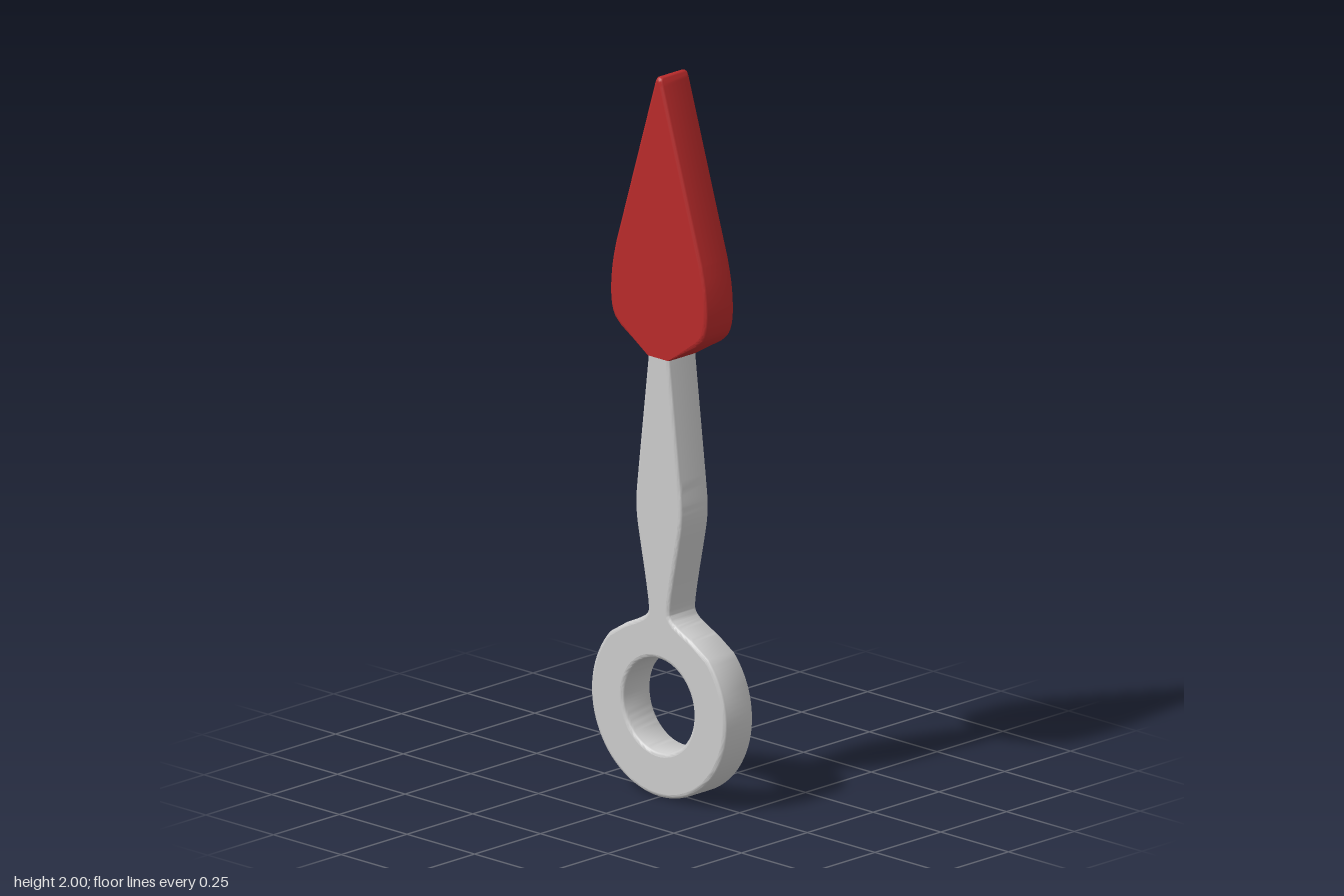
import * as THREE from 'three';
import { toCreasedNormals } from 'three/addons/utils/BufferGeometryUtils.js';

const HALF_DEPTH = 0.054;
const BEVEL = 0.012;
const SEAM = 1.22; // height where blade meets handle

const vec = ([x, y]) => new THREE.Vector2(x, y);

// Smooth run through a few points
const smooth = (pts, n) => new THREE.SplineCurve(pts.map(vec)).getPoints(n);

// Closed outline from its right half, listed bottom to top
function mirrored(half) {
  const left = half.filter(p => p.x > 1e-5).reverse().map(p => new THREE.Vector2(-p.x, p.y));
  return new THREE.Shape([...half, ...left]);
}

// Soft-edged plate, cut square at the seam, with flat front and back faces
function plate(name, shape, material) {
  const flat = new THREE.ExtrudeGeometry(shape, {
    depth: 2 * (HALF_DEPTH - BEVEL), curveSegments: 40, steps: 1,
    bevelThickness: BEVEL, bevelSize: BEVEL, bevelOffset: -BEVEL, bevelSegments: 4,
  });
  flat.translate(0, 0, -(HALF_DEPTH - BEVEL));
  const p = flat.attributes.position;
  for (let i = 0; i < p.count; i++) {
    if (Math.abs(p.getY(i) - SEAM) < BEVEL * 1.05) p.setY(i, SEAM);
  }
  const geometry = toCreasedNormals(flat, 0.6);
  const q = geometry.attributes.position, n = geometry.attributes.normal;
  for (let i = 0; i < q.count; i += 3) {
    const z = q.getZ(i);
    const onFace = [0, 1, 2].every(k => Math.abs(q.getZ(i + k) - z) < 1e-5);
    if (onFace && Math.abs(z) > HALF_DEPTH - 1e-4) {
      for (let k = 0; k < 3; k++) n.setXYZ(i + k, 0, 0, Math.sign(z));
    }
  }
  const mesh = new THREE.Mesh(geometry, material);
  mesh.name = name;
  return mesh;
}

export function createModel() {
  const group = new THREE.Group();
  group.name = 'throwingKnife';
  const grey = new THREE.MeshStandardMaterial({ color: 0xcccccc });
  const red = new THREE.MeshStandardMaterial({ color: 0xb82a2a });

  // Ring pommel flowing through a pinched neck into the swelling grip
  const ring = [];
  for (let i = 0; i <= 32; i++) {
    const a = -Math.PI / 2 + (i / 32) * Math.PI * 0.74;
    ring.push(new THREE.Vector2(i ? 0.25 * Math.cos(a) : 0, 0.25 + 0.25 * Math.sin(a)));
  }
  const grip = smooth([
    [0.125, 0.457], [0.07, 0.484], [0.046, 0.502], [0.04, 0.525], [0.052, 0.6],
    [0.072, 0.7], [0.083, 0.76], [0.086, 0.81], [0.081, 0.87], [0.06, 1.05], [0.04, SEAM],
  ], 60);
  const handleShape = mirrored([...ring, ...grip]);
  handleShape.holes.push(new THREE.Path().absarc(0, 0.254, 0.129, 0, Math.PI * 2, true));
  group.add(plate('handle', handleShape, grey));

  // Leaf-shaped blade with rounded shoulders and a fine tip
  const shoulder = smooth([
    [0.14, 1.278], [0.165, 1.303], [0.177, 1.34], [0.179, 1.39], [0.173, 1.45], [0.16, 1.51],
  ], 24);
  const tip = smooth([[0.018, 1.975], [0.013, 1.99], [0.007, 1.998], [0, 2]], 6);
  group.add(plate('blade', mirrored([vec([0.04, SEAM]), ...shoulder, ...tip]), red));

  return group;
}
